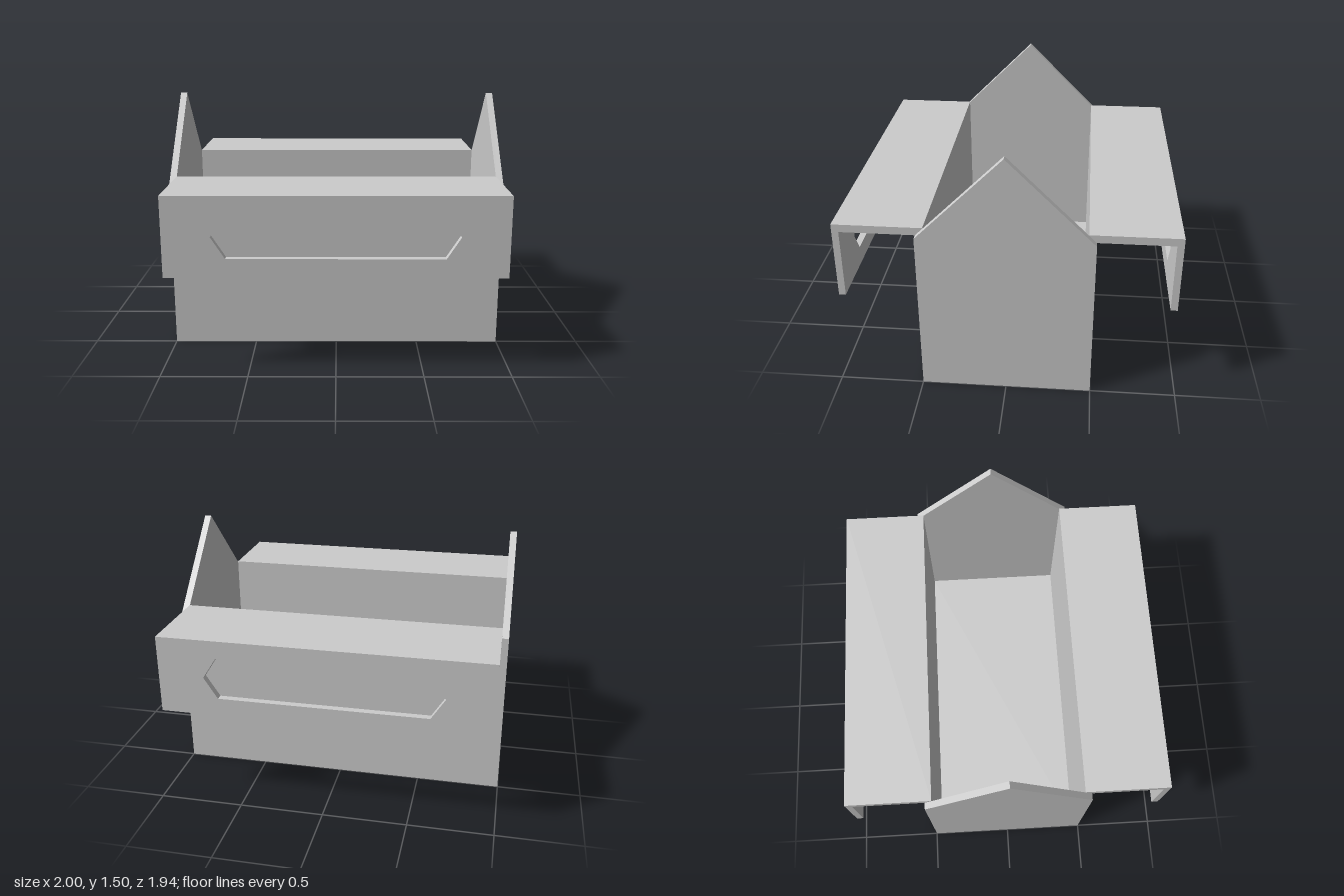
import * as THREE from 'three';

const T = 0.04; // wall thickness
const HALF = 0.96; // half width between the gables
const INNER = 0.457; // inner face of the long walls
const material = new THREE.MeshStandardMaterial({ color: 0xcccccc, flatShading: true, side: THREE.DoubleSide });

function polygon(points, PathType = THREE.Shape) {
  return new PathType(points.map(([x, y]) => new THREE.Vector2(x, y)));
}

function add(parent, name, geometry, x = 0, y = 0, z = 0) {
  const mesh = new THREE.Mesh(geometry, material);
  mesh.name = name;
  mesh.position.set(x, y, z);
  parent.add(mesh);
  return mesh;
}

// Long wall with a folded flap: top shelf and a hanging lip with a hand slot
function createFlapSide(name) {
  const side = new THREE.Group();
  side.name = name;
  const wall = 0.5 - INNER;
  add(side, 'wall', new THREE.BoxGeometry(2 * HALF, 1, wall), 0, 0.5, 0.5 - wall / 2);
  const depth = 0.97 - INNER;
  add(side, 'flapTop', new THREE.BoxGeometry(2 * HALF, 0.047, depth), 0, 1.0235, INNER + depth / 2);

  const lip = polygon([[-HALF, 0.58], [HALF, 0.58], [HALF, 1], [-HALF, 1]]);
  lip.holes.push(polygon([
    [-0.69, 0.815], [-0.61, 0.94], [0.61, 0.94], [0.69, 0.815], [0.61, 0.69], [-0.61, 0.69],
  ], THREE.Path));
  add(side, 'flapLip', new THREE.ExtrudeGeometry(lip, { depth: T, bevelEnabled: false }), 0, 0, 0.97 - T);
  return side;
}

export function createModel() {
  const model = new THREE.Group();
  model.name = 'gabledBox';

  add(model, 'floor', new THREE.BoxGeometry(2 * HALF, T, 2 * INNER), 0, T / 2, 0);

  // Pointed end panels
  const gable = polygon([[-0.5, 0], [0.5, 0], [0.5, 1], [0, 1.5], [-0.5, 1]]);
  const gableGeometry = new THREE.ExtrudeGeometry(gable, { depth: T, bevelEnabled: false });
  gableGeometry.rotateY(Math.PI / 2);
  add(model, 'leftGable', gableGeometry, HALF);
  add(model, 'rightGable', gableGeometry, -HALF - T);

  // Matching front and back
  model.add(createFlapSide('frontSide'));
  const back = createFlapSide('backSide');
  back.rotation.y = Math.PI;
  model.add(back);

  return model;
}
